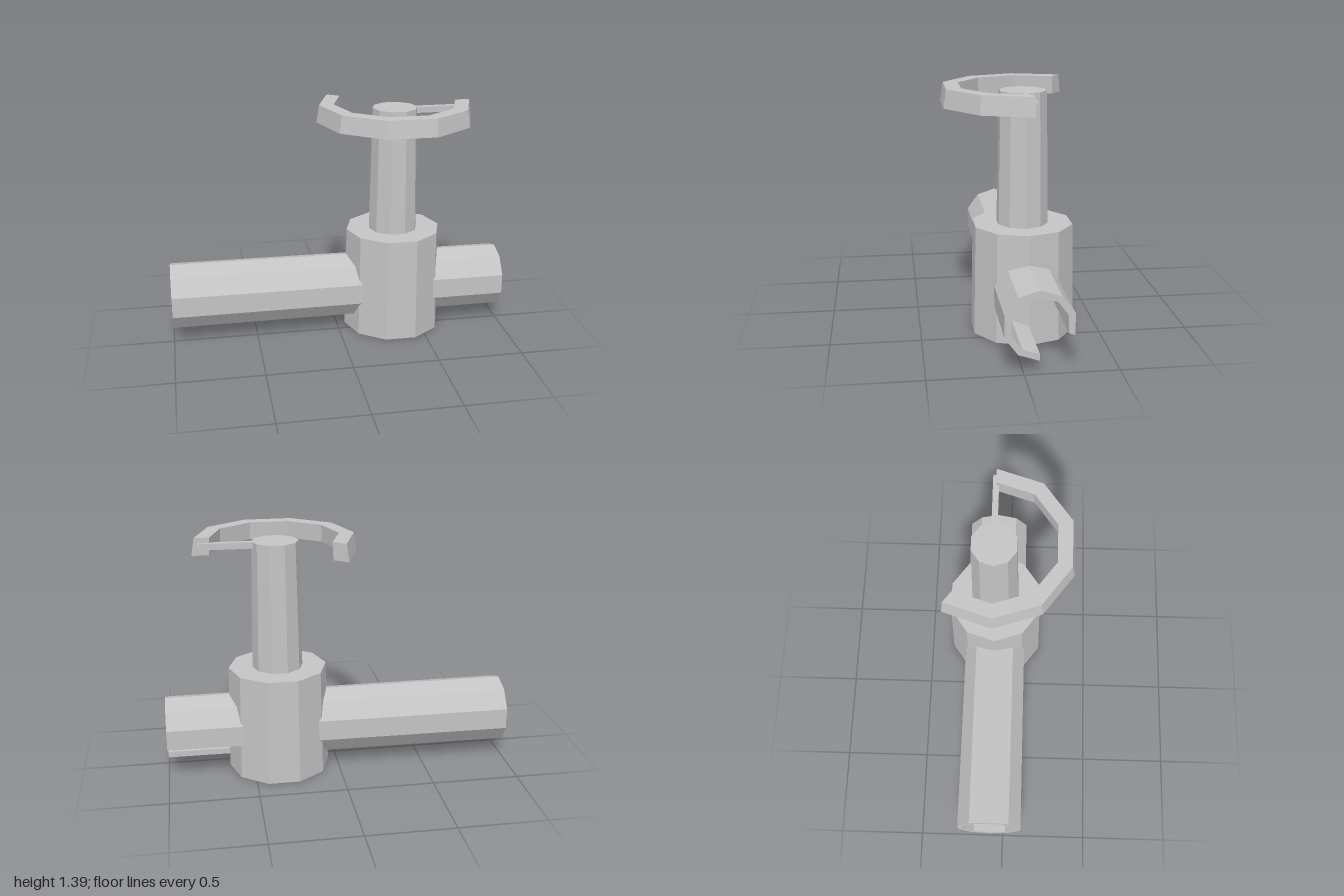
import * as THREE from 'three';
import { mergeGeometries } from 'three/addons/utils/BufferGeometryUtils.js';

const STEP = Math.PI / 5; // every round part has ten sides
const CX = 0.345, CZ = -0.08, PIPE_Y = 0.265;

// Sweeps a counter-clockwise (radius, height) section round y, capping open ends.
function ringSector(section, startStep, steps) {
  const points = section.map(([r, y]) => new THREE.Vector2(r, y));
  const start = startStep * STEP, length = steps * STEP;
  const parts = [new THREE.LatheGeometry([...points, points[0].clone()], steps, start, length)];
  if (steps < 10) {
    const first = new THREE.ShapeGeometry(new THREE.Shape(points));
    const last = first.clone();
    last.index.array.reverse();
    parts.push(first.rotateY(start - Math.PI / 2), last.rotateY(start + length - Math.PI / 2));
  }
  const geometry = mergeGeometries(parts.map((p) => p.toNonIndexed()));
  geometry.computeVertexNormals();
  return geometry;
}

export function createModel() {
  const group = new THREE.Group();
  const metal = new THREE.MeshStandardMaterial({ color: 0xc4c4c4 });
  metal.flatShading = true;

  const add = (name, geometry, x, y, z) => {
    const mesh = new THREE.Mesh(geometry, metal);
    mesh.name = name;
    mesh.position.set(x, y, z);
    group.add(mesh);
  };

  // Tapered column with corners on the x axis
  const column = (name, rTop, rBottom, y0, y1) =>
    add(name, new THREE.CylinderGeometry(rTop, rBottom, y1 - y0, 10, 1, false, Math.PI / 2),
      CX, (y0 + y1) / 2, CZ);
  column('valveBody', 0.283, 0.295, 0, 0.62);
  column('stem', 0.132, 0.146, 0.6, 1.36);

  // Hollow pipe along x, narrowing slightly towards +x
  const outer = (x) => 0.1935 - 0.0035 * x;
  const pipe = (name, x0, x1, startStep, steps) => {
    const section = [[outer(x0), x0], [outer(x1), x1],
      [outer(x1) - 0.036, x1], [outer(x0) - 0.036, x0]];
    add(name, ringSector(section, startStep, steps).rotateZ(-Math.PI / 2), 0, PIPE_Y, CZ);
  };
  pipe('longPipe', -1, 0.15, 2.5, 10);
  pipe('brokenShortPipe', 0.54, 1, 4.5, 8); // two lower rear sides are missing

  // Broken handwheel: six of ten segments remain
  const rim = [[0.461, 1.29], [0.445, 1.39], [0.36, 1.39], [0.365, 1.29]];
  add('handwheelRim', ringSector(rim, -3.5, 6), CX, 0, CZ);

  // Remaining spoke from the stem to the rim
  add('handwheelSpoke', new THREE.BoxGeometry(0.42, 0.036, 0.034), 0.56, 1.341, -0.082);

  return group;
}
